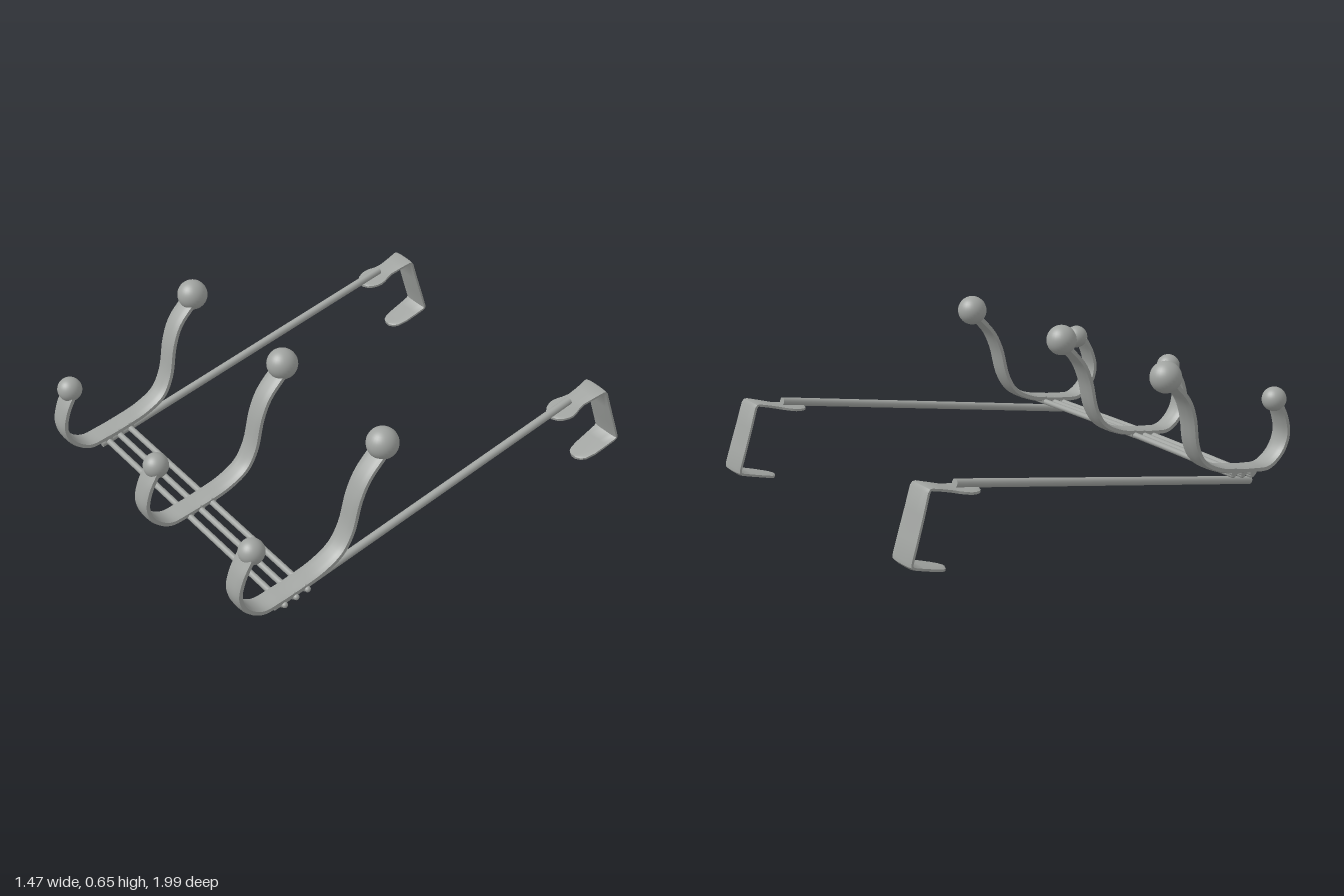
import * as THREE from 'three';
import { toCreasedNormals } from 'three/addons/utils/BufferGeometryUtils.js';

const V = (x, y, z) => new THREE.Vector3(x, y, z);

// Flat strip with softened edges, following points lying roughly in a yz plane
function ribbon(points, widths, thickness, crease) {
  const n = points.length - 1;
  const geo = new THREE.BoxGeometry(1, 1, 1, 6, 1, n);
  const pos = geo.attributes.position;
  for (let i = 0; i < pos.count; i++) {
    const u = pos.getX(i), v = pos.getY(i);
    const k = Math.round((pos.getZ(i) + 0.5) * n);
    const a = points[Math.max(k - 1, 0)], b = points[Math.min(k + 1, n)];
    const up = b.clone().sub(a).setX(0).normalize().cross(V(1, 0, 0));
    const h = v * thickness * (1 - 0.45 * Math.pow(Math.abs(2 * u), 4));
    pos.setXYZ(i, points[k].x + u * widths[k], points[k].y + up.y * h, points[k].z + up.z * h);
  }
  return toCreasedNormals(geo, crease);
}

// Straight round bar between two points
function bar(a, b, r) {
  const d = b.clone().sub(a);
  const geo = new THREE.CylinderGeometry(r, r, d.length(), 16);
  geo.applyQuaternion(new THREE.Quaternion().setFromUnitVectors(V(0, 1, 0), d.clone().normalize()));
  const mid = a.clone().add(b).multiplyScalar(0.5);
  return geo.translate(mid.x, mid.y, mid.z);
}

export function createModel() {
  const metal = new THREE.MeshStandardMaterial({ color: 0xa0a3a0 });
  metal.name = 'satin grey metal';
  const model = new THREE.Group();
  model.name = 'overDoorHookRack';
  const add = (parent, name, geo) => {
    const mesh = new THREE.Mesh(geo, metal);
    mesh.name = name;
    parent.add(mesh);
    return mesh;
  };
  const group = (name) => {
    const g = new THREE.Group();
    g.name = name;
    model.add(g);
    return g;
  };

  // Double hooks: side profile as [z, y], running from the small knob to the large one
  const profile = [
    [0.92, 0.365], [0.962, 0.29], [0.98, 0.21], [0.952, 0.135], [0.88, 0.083], [0.79, 0.088],
    [0.69, 0.105], [0.59, 0.13], [0.5, 0.18], [0.448, 0.26], [0.408, 0.4], [0.365, 0.485], [0.28, 0.575],
  ];
  const hooks = [
    { name: 'rightHook', front: -0.652, base: -0.64, back: -0.675, top: 0.59, frontZ: 0.92 },
    { name: 'middleHook', front: 0.01, base: 0.01, back: 0, top: 0.6, frontZ: 0.905 },
    { name: 'leftHook', front: 0.667, base: 0.667, back: 0.665, top: 0.6, frontZ: 0.895 },
  ];
  for (const h of hooks) {
    const g = group(h.name);
    const path = profile.map(([z, y], i) => {
      const x = i < 4 ? THREE.MathUtils.lerp(h.front, h.base, i / 4)
        : THREE.MathUtils.lerp(h.base, h.back, THREE.MathUtils.smoothstep(i, 8, 11));
      return V(x, y, z);
    });
    const pts = new THREE.CatmullRomCurve3(path).getPoints(60);
    add(g, 'hookStrap', ribbon(pts, pts.map(() => 0.09), 0.03, 0.7));
    add(g, 'smallKnob', new THREE.SphereGeometry(0.053, 28, 20)).position.set(h.front, 0.375, h.frontZ);
    add(g, 'largeKnob', new THREE.SphereGeometry(0.066, 28, 20)).position.set(h.back, h.top, 0.272);
  }

  // Three cross rods with small saddles beneath each hook
  const rods = group('crossRods');
  for (const z of [0.785, 0.73, 0.675]) {
    const y = 0.072 + (0.785 - z) * 0.2;
    const rod = new THREE.CatmullRomCurve3([V(-0.67, y - 0.008, z), V(0, y + 0.002, z + 0.002), V(0.713, y, z - 0.004)]);
    add(rods, 'crossRod', new THREE.TubeGeometry(rod, 12, 0.013, 12));
    add(rods, 'rodEnd', new THREE.SphereGeometry(0.013, 12, 8)).position.set(0.713, y, z - 0.004);
    add(rods, 'rodEnd', new THREE.SphereGeometry(0.013, 12, 8)).position.set(-0.67, y - 0.008, z);
    for (const h of hooks) {
      add(rods, 'rodSaddle', bar(V(h.base - 0.043, y + 0.007, z), V(h.base + 0.043, y + 0.007, z), 0.018));
    }
  }

  // Door brackets: [z, y, width], from round paddle over the door edge to the lower lip
  const bracket = [
    [-0.643, 0.305, 0.03], [-0.651, 0.307, 0.07], [-0.668, 0.31, 0.103], [-0.69, 0.314, 0.125],
    [-0.712, 0.318, 0.132], [-0.735, 0.323, 0.123], [-0.758, 0.328, 0.105], [-0.785, 0.336, 0.092],
    [-0.83, 0.35, 0.1], [-0.88, 0.365, 0.115], [-0.889, 0.364, 0.118], [-0.897, 0.355, 0.12],
    [-0.925, 0.27, 0.124], [-0.96, 0.17, 0.128], [-0.986, 0.095, 0.128], [-0.987, 0.084, 0.128],
    [-0.978, 0.075, 0.126], [-0.93, 0.06, 0.12], [-0.87, 0.042, 0.112], [-0.83, 0.03, 0.095],
    [-0.812, 0.025, 0.07], [-0.802, 0.022, 0.03],
  ];
  const arms = [
    { name: 'rightArm', x: -0.645, endX: -0.638, depth: 0.91 },
    { name: 'leftArm', x: 0.657, endX: 0.669, depth: 1 },
  ];
  for (const a of arms) {
    const g = group(a.name);
    add(g, 'armRod', bar(V(a.x, 0.03, 0.8), V(a.x, 0.348, -0.745), 0.0175));
    const pts = bracket.map(([z, y]) => {
      const t = THREE.MathUtils.smoothstep(-z, 0.72, 0.88);
      const zz = z < -0.88 ? -0.88 + (z + 0.88) * a.depth : z;
      return V(THREE.MathUtils.lerp(a.x, a.endX, t), y, zz);
    });
    add(g, 'doorBracket', ribbon(pts, bracket.map((p) => p[2]), 0.018, 0.6));
  }
  return model;
}
